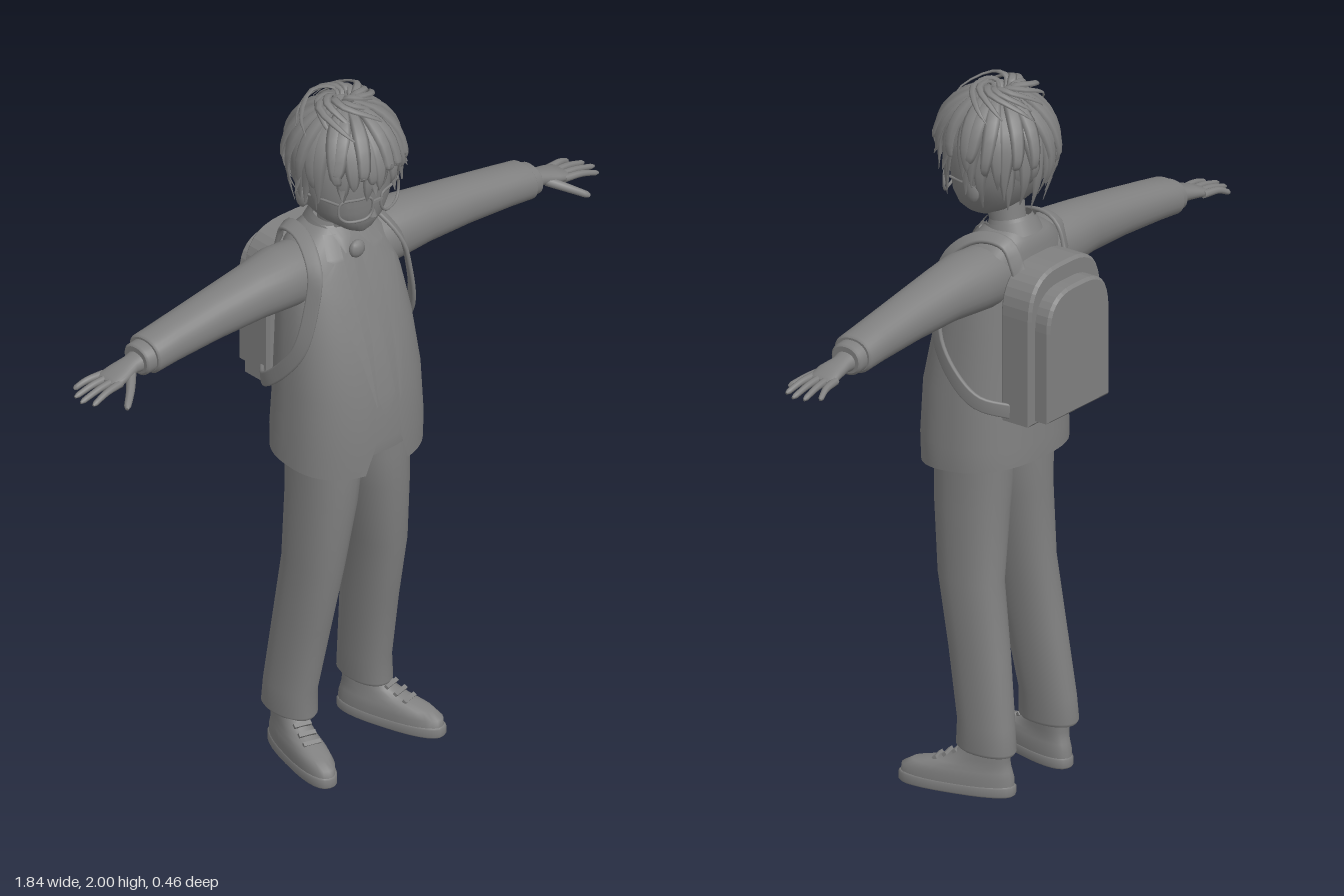
import * as THREE from 'three';

const grey = new THREE.MeshStandardMaterial({ color: 0x808080, side: THREE.DoubleSide });
grey.name = 'plain grey';

const V = (x, y, z) => new THREE.Vector3(x, y, z);
const spow = (c, p) => Math.sign(c) * Math.abs(c) ** (2 / p);
const lerp = THREE.MathUtils.lerp;

// Joins rings of points into one smooth surface; closed rings get end caps.
function skin(rings, { closed = true, flip = false } = {}) {
  const n = rings[0].length, pos = [], idx = [];
  rings.forEach(r => r.forEach(p => pos.push(p.x, p.y, p.z)));
  const tri = (a, b, c) => (flip ? idx.push(a, c, b) : idx.push(a, b, c));
  for (let i = 0; i < rings.length - 1; i++)
    for (let j = 0; j < (closed ? n : n - 1); j++) {
      const k = (j + 1) % n, a = i * n + j, b = i * n + k, c = a + n, d = b + n;
      tri(a, c, b); tri(b, c, d);
    }
  if (closed) [0, rings.length - 1].forEach(i => {
    const m = rings[i].reduce((s, p) => s.add(p), V(0, 0, 0)).divideScalar(n), o = pos.length / 3;
    rings[i].forEach(p => pos.push(p.x, p.y, p.z));
    pos.push(m.x, m.y, m.z);
    for (let j = 0; j < n; j++) {
      const k = (j + 1) % n;
      i === 0 ? tri(o + n, o + j, o + k) : tri(o + n, o + k, o + j);
    }
  });
  const g = new THREE.BufferGeometry();
  g.setAttribute('position', new THREE.Float32BufferAttribute(pos, 3));
  g.setIndex(idx);
  g.computeVertexNormals();
  return g;
}

// Superellipse sections [t, cu, cv, ru, rv] stacked along y or x.
function loft(secs, axis = 'y', p = 2.2, n = 28) {
  const rings = secs.map(([t, cu, cv, ru, rv]) => Array.from({ length: n }, (_, j) => {
    const a = j / n * Math.PI * 2, u = cu + ru * spow(Math.cos(a), p), v = cv + rv * spow(Math.sin(a), p);
    return axis === 'y' ? V(u, t, v) : V(t, u, v);
  }));
  return skin(rings, { flip: axis === 'x' });
}

// Section of varying half width and half thickness carried along a curve.
function sweep(pts, width, thick, outward, { steps = 12, n = 6, p = 2 } = {}) {
  const curve = new THREE.CatmullRomCurve3(pts), rings = [];
  for (let i = 0; i <= steps; i++) {
    const t = i / steps, c = curve.getPoint(t), tan = curve.getTangent(t);
    const side = tan.clone().cross(outward(c)).normalize(), nor = side.clone().cross(tan);
    rings.push(Array.from({ length: n }, (_, j) => {
      const a = j / n * Math.PI * 2;
      return c.clone().addScaledVector(side, width(t) * spow(Math.cos(a), p))
        .addScaledVector(nor, thick(t) * spow(Math.sin(a), p));
    }));
  }
  return skin(rings);
}

// Sections given as [y, half width, front z, back z].
const toSecs = (rows, inset = 0) => rows.map(([y, w, f, b]) => [y, 0, (f + b) / 2, w - inset, (f - b) / 2 - inset]);
const torso = [[0.933, .212, .217, -.12], [1.0, .213, .22, -.12], [1.15, .205, .213, -.112], [1.3, .195, .18, -.106],
  [1.42, .182, .142, -.104], [1.5, .17, .108, -.1], [1.55, .148, .085, -.097], [1.58, .108, .068, -.088], [1.605, .066, .052, -.066]];
const skull = [[1.607, .018, .118, .06], [1.62, .045, .13, .03], [1.65, .085, .143, -.02], [1.69, .115, .15, -.06],
  [1.75, .132, .155, -.09], [1.82, .137, .156, -.1], [1.89, .118, .135, -.085], [1.94, .07, .1, -.04], [1.955, .02, .05, .0]];
const P = 2.4;
function frontZ(rows, x, y) {
  let i = 0;
  while (i < rows.length - 2 && rows[i + 1][0] < y) i++;
  const k = THREE.MathUtils.clamp((y - rows[i][0]) / (rows[i + 1][0] - rows[i][0]), 0, 1);
  const [w, f, b] = [1, 2, 3].map(c => lerp(rows[i][c], rows[i + 1][c], k));
  return (f + b) / 2 + (f - b) / 2 * (1 - Math.min(1, Math.abs(x) / w) ** P) ** (1 / P);
}
// Thin cloth lying on a body front, rows [y, x0, x1].
const panel = (body, rows, off) => skin(rows.map(([y, a, b]) =>
  [0, .25, .5, .75, 1].map(k => V(lerp(a, b, k), y, frontZ(body, lerp(a, b, k), y) + off))), { closed: false, flip: true });

export function createModel() {
  const model = new THREE.Group();
  const add = (name, geo, parent = model) => {
    const m = new THREE.Mesh(geo, grey);
    m.name = name;
    parent.add(m);
    return m;
  };
  const both = (name, geo) => { add(name + 'Left', geo); add(name + 'Right', geo).scale.x = -1; };
  const at = (geo, x, y, z) => geo.translate(x, y, z);

  // Jacket, open down the front with a slightly dropped front hem
  const gaps = [.075, .046, .04, .05, .056, .056, .05, .045, .04];
  add('jacket', skin(toSecs(torso).map(([y, , cz, rx, rz], i) => {
    const g = Math.asin((gaps[i] / rx) ** (P / 2));
    return Array.from({ length: 49 }, (_, j) => {
      const a = Math.PI / 2 + g + (Math.PI * 2 - 2 * g) * j / 48;
      const z = cz + rz * spow(Math.sin(a), P);
      return V(rx * spow(Math.cos(a), P), y - (i === 0 ? (z - .05) * .1 : 0), z);
    });
  }), { closed: false }));
  const shirtRows = toSecs(torso, .012);
  shirtRows[0][0] = .965;
  add('shirt', loft(shirtRows, 'y', P, 40));
  both('lapel', panel(torso, [[1.59, .045, .078], [1.535, .053, .1], [1.525, .054, .082], [1.48, .056, .128],
    [1.4, .055, .108], [1.25, .047, .07], [1.12, .04, .043]], .007));
  add('tie', panel(torso, [[1.53, -.014, .014], [1.3, -.022, .022], [1.14, -.031, .031], [1.06, -.001, .001]], -.003));
  add('tieKnot', at(new THREE.SphereGeometry(.026, 10, 8).scale(1, 1, .6), 0, 1.54, .092));
  both('shirtCollar', panel(torso, [[1.605, .008, .06], [1.58, .012, .056], [1.545, .04, .045]], .012));

  // Neck and standing collars
  add('neck', loft([[1.54, 0, -.005, .052, .052], [1.6, 0, .005, .047, .048], [1.67, 0, .02, .05, .055]]));
  [['collarBand', .058, .03, 1.605], ['jacketCollar', .07, .04, 1.592]].forEach(([name, r, h, y]) =>
    add(name, at(new THREE.CylinderGeometry(r, r + .012, h, 28, 1, true, .7, Math.PI * 2 - 1.4).rotateX(.2), 0, y, -.006)));

  // Sleeves, cuffs and hands
  both('sleeve', loft([[.1, 1.48, -.005, .085, .085], [.2, 1.487, -.003, .082, .09], [.3, 1.483, 0, .073, .078],
    [.45, 1.47, 0, .064, .068], [.6, 1.453, 0, .056, .063], [.675, 1.443, 0, .052, .063], [.68, 1.443, 0, .046, .057]], 'x'));
  both('cuff', loft([[.66, 1.442, 0, .044, .052], [.705, 1.437, 0, .043, .05], [.71, 1.437, 0, .037, .044]], 'x'));
  both('palm', loft([[.69, 1.436, 0, .03, .036], [.73, 1.43, 0, .023, .03], [.775, 1.422, .003, .02, .04],
    [.81, 1.413, .001, .015, .042], [.82, 1.41, .001, .008, .036]], 'x'));
  const digit = (pts, r) => sweep(pts, t => r * (1 - .35 * t) * (t > .95 ? .5 : 1), t => r * (1 - .35 * t) * (t > .95 ? .5 : 1),
    () => V(0, 1, 0), { n: 8 });
  [[-.033, -.052, .885], [-.011, -.018, .912], [.012, .014, .92], [.034, .047, .905]].forEach(([z0, z1, x], i) =>
    both('finger' + (i + 1), digit([V(.795, 1.414, z0), V(.85, 1.41, lerp(z0, z1, .5)), V(x, 1.394, z1)], .0115)));
  both('thumb', digit([V(.745, 1.42, .02), V(.785, 1.4, .062), V(.83, 1.375, .098)], .0145));

  // Trousers
  both('trouserLeg', loft([[.12, .135, -.027, .05, .084], [.13, .135, -.027, .057, .09], [.2, .133, -.025, .056, .086],
    [.4, .121, .007, .061, .092], [.6, .112, .042, .067, .098], [.8, .093, .053, .082, .109], [.9, .086, .053, .088, .113],
    [1.0, .086, .053, .088, .113]]));

  // Shoes, turned out at the toe
  const shoe = geo => geo.rotateY(.27).translate(.137, 0, -.03);
  both('sole', shoe(loft([[0, 0, .085, .047, .163], [.005, 0, .085, .051, .167], [.026, 0, .085, .051, .167], [.03, 0, .085, .046, .162]], 'y', 2.5)));
  both('shoeUpper', shoe(loft([[.025, 0, .084, .048, .162], [.05, 0, .083, .049, .16], [.068, 0, .07, .045, .142],
    [.082, 0, .04, .041, .108], [.1, 0, .015, .039, .08], [.135, 0, 0, .038, .068]], 'y', 2.4)));
  for (let i = 0; i < 3; i++)
    both('lace' + (i + 1), shoe(at(new THREE.BoxGeometry(.05, .009, .012).rotateX(.6), 0, .112 - i * .014, .085 + i * .028)));

  // Backpack: two arched slabs
  const arch = (w, y0, y1, r, depth, z) => {
    const s = new THREE.Shape();
    s.moveTo(-w, y0); s.lineTo(w, y0); s.lineTo(w, y1 - r);
    s.quadraticCurveTo(w, y1, w - r, y1); s.lineTo(r - w, y1);
    s.quadraticCurveTo(-w, y1, -w, y1 - r); s.closePath();
    return new THREE.ExtrudeGeometry(s, { depth, bevelSize: .008, bevelThickness: .008, bevelSegments: 1, curveSegments: 8 }).translate(0, 0, z);
  };
  add('backpackBody', arch(.147, 1.108, 1.525, .12, .085, -.182));
  add('backpackPocket', arch(.125, 1.122, 1.475, .1, .05, -.228));
  both('shoulderStrap', sweep([V(.1, 1.5, -.115), V(.108, 1.585, -.075), V(.122, 1.59, .01), V(.152, 1.525, .092),
    V(.176, 1.42, .104), V(.2, 1.3, .085), V(.212, 1.21, .02), V(.204, 1.155, -.05), V(.14, 1.125, -.13)],
    () => .021, () => .006, c => V(c.x, c.y > 1.5 ? .25 : 0, c.z * .8), { steps: 40, n: 12, p: 5 }));

  // Head and face
  add('head', loft(toSecs(skull), 'y', P, 32));
  both('ear', at(new THREE.SphereGeometry(.03, 10, 8).scale(.4, 1.1, .75), .134, 1.725, .02));
  add('nose', at(new THREE.ConeGeometry(.012, .04, 8), 0, 1.69, .154));
  add('mouth', panel(skull, [[1.653, -.02, .02], [1.649, -.016, .016]], .003));
  both('eye', panel(skull, [[1.74, .035, .07], [1.728, .028, .08], [1.712, .036, .074]], .003));
  both('eyebrow', panel(skull, [[1.772, .03, .085], [1.765, .026, .09]], .003));

  // Glasses
  const rim = [[.016, 1.7], [.02, 1.738], [.06, 1.744], [.102, 1.738], [.106, 1.7], [.09, 1.682], [.06, 1.678], [.032, 1.682]]
    .map(([x, y]) => V(x, y, .172 - x * x * 3));
  both('glassesRim', new THREE.TubeGeometry(new THREE.CatmullRomCurve3(rim, true), 40, .004, 6, true));
  both('glassesArm', new THREE.TubeGeometry(new THREE.LineCurve3(V(.106, 1.735, .138), V(.143, 1.742, .01)), 2, .004, 6));
  add('glassesBridge', at(new THREE.BoxGeometry(.036, .007, .007), 0, 1.725, .172));

  // Hair: a cap under layers of tapered locks falling from the crown
  let seed = 7;
  const rnd = () => (seed = (seed * 16807) % 2147483647) / 2147483647;
  const hair = new THREE.Group();
  hair.name = 'hair';
  model.add(hair);
  add('hairCap', at(new THREE.SphereGeometry(1, 28, 14, 0, Math.PI * 2, 0, 1.65).scale(.145, .143, .153).rotateX(-.45), 0, 1.82, .04), hair);
  const mid = V(0, 1.82, .042);
  const onHead = (phi, th, f) => V(Math.sin(phi) * Math.sin(th) * .147 * f, Math.cos(th) * .145 * f, Math.cos(phi) * Math.sin(th) * .16 * f).add(mid);
  const out = c => c.clone().sub(mid);
  const taper = w => t => Math.max(.001, w * Math.min(1, .35 + t * 2.2) * (1 - t ** 2.6));
  const layers = [[26, 1.0, 0, .034], [22, 1.05, .045, .028], [17, 1.09, .095, .024]];
  layers.forEach(([count, f, lift, w], layer) => {
    for (let i = 0; i < count; i++) {
      const phi = (i + layer * .4 + rnd() * .5) / count * Math.PI * 2, c = Math.cos(phi);
      const end = (c > .5 ? 1.735 : c > -.4 ? 1.69 : 1.665) + lift + rnd() * .035;
      const twist = (rnd() - .5) * .4, flick = .9 + rnd() * .16 - (c < -.4 ? .12 : 0);
      const pts = [.15, .55, 1, 1.4].map((th, k) => onHead(phi + twist * k * .25, th, f));
      const rim = onHead(phi + twist, Math.PI / 2, f);
      const drop = (k, s) => V(rim.x * s, lerp(mid.y, end, k), mid.z + (rim.z - mid.z) * s);
      pts.push(drop(.45, 1), drop(1, flick));
      add('lock', sweep(pts, taper(w), taper(.009), out), hair);
    }
  });
  // Loose curled tufts on the crown
  for (let i = 0; i < 13; i++) {
    const phi = i / 13 * Math.PI * 2 + rnd() * .4, r = .07 + rnd() * .045, h = 1.978 + rnd() * .016;
    const p = (k, y) => V(Math.sin(phi + k * 2) * r * k, y, .03 + Math.cos(phi + k * 2) * r * k);
    add('tuft', sweep([p(.05, 1.94), p(.35, h), p(.75, h), p(1.15, h - .035), p(1.3, h - .07)], taper(.013), taper(.005), out), hair);
  }
  return model;
}
